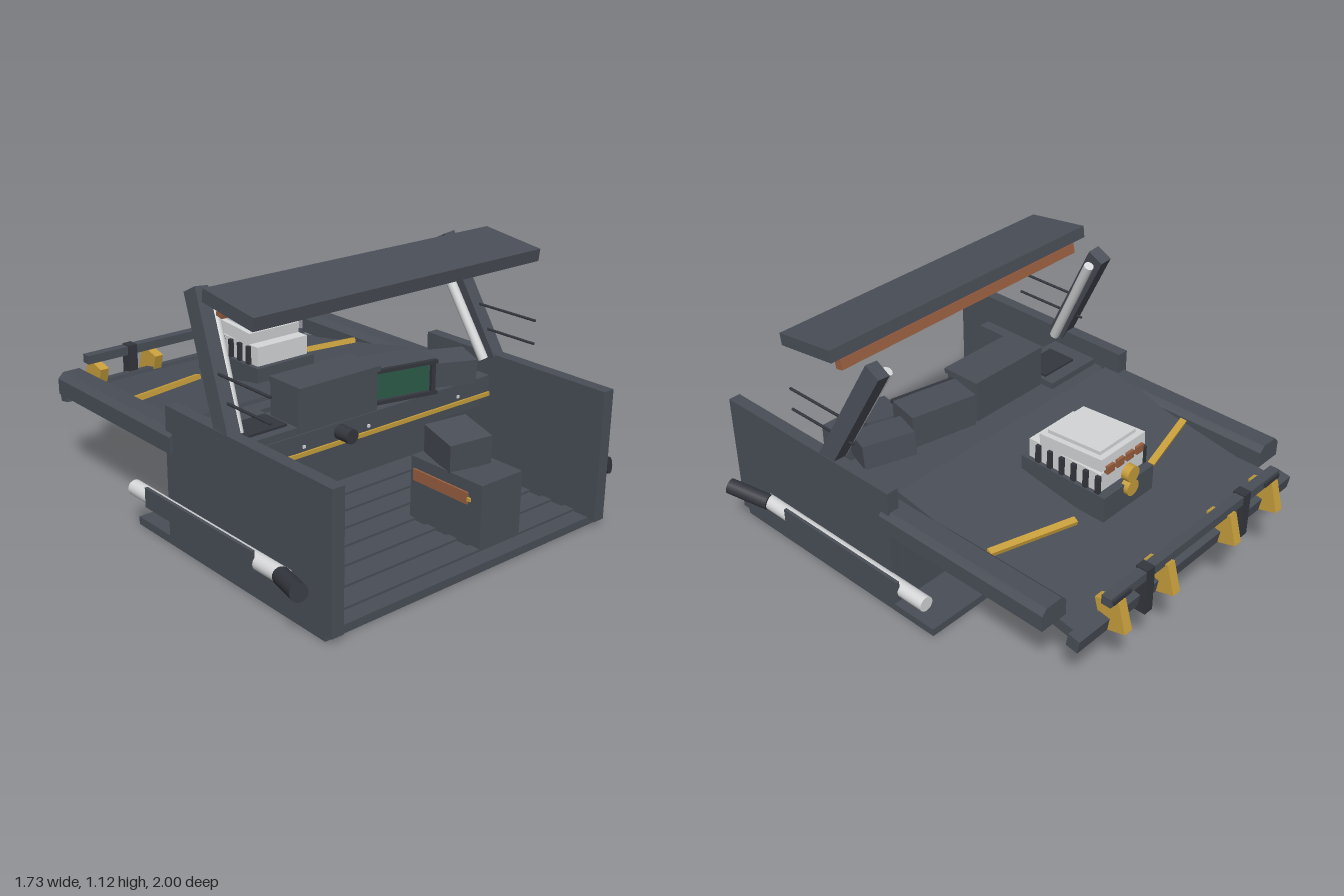
import * as THREE from 'three';

const material = (name, color) => {
  const m = new THREE.MeshStandardMaterial({ color });
  m.name = name;
  return m;
};

export function createModel() {
  const model = new THREE.Group();
  model.name = 'cockpit';
  const dark = material('slate grey', 0x4a4f58);
  const black = material('dark trim', 0x34373e);
  const light = material('light metal', 0xd6d8da);
  const gold = material('gold', 0xc9a03c);
  const copper = material('copper', 0x9a6040);
  const green = material('screen green', 0x2c5a48);

  const add = (name, geometry, mat, pos = [0, 0, 0], rot = [0, 0, 0], parent = model) => {
    const mesh = new THREE.Mesh(geometry, mat);
    mesh.name = name;
    mesh.position.set(...pos);
    mesh.rotation.set(...rot);
    parent.add(mesh);
    return mesh;
  };
  // Box given by its limits on each axis
  const span = (name, mat, [x0, x1], [y0, y1], [z0, z1]) =>
    add(name, new THREE.BoxGeometry(x1 - x0, y1 - y0, z1 - z0), mat,
      [(x0 + x1) / 2, (y0 + y1) / 2, (z0 + z1) / 2]);
  const box = (name, mat, size, pos, rot, parent) =>
    add(name, new THREE.BoxGeometry(...size), mat, pos, rot, parent);
  // Round rod, or beam of a w x d section, running between two points
  const between = (name, geometry, mat, a, b) => {
    const p = new THREE.Vector3(...a), q = new THREE.Vector3(...b);
    const mesh = add(name, geometry(p.distanceTo(q)), mat, p.clone().lerp(q, 0.5).toArray());
    mesh.quaternion.setFromUnitVectors(new THREE.Vector3(0, 1, 0), q.sub(p).normalize());
    return mesh;
  };
  const rod = (name, mat, r, a, b, sides = 16) =>
    between(name, h => new THREE.CylinderGeometry(r, r, h, sides), mat, a, b);
  const beam = (name, mat, w, d, a, b) =>
    between(name, h => new THREE.BoxGeometry(w, h, d), mat, a, b);

  // Tub: floor with ribs, firewall and side walls
  span('floor', dark, [-0.735, 0.735], [0.005, 0.04], [-0.22, 0.965]);
  for (let i = 0; i < 7; i++) {
    const z = 0.12 + i * 0.12;
    span('floorRib', dark, [-0.68, 0.68], [0.04, 0.05], [z, z + 0.05]);
  }
  span('firewall', dark, [-0.68, 0.68], [0.04, 0.5], [0.0, 0.04]);
  for (const s of [-1, 1]) {
    const side = s < 0 ? 'right' : 'left';
    box(side + 'Wall', dark, [0.055, 0.57, 0.995], [s * 0.7075, 0.315, 0.5025]);

    // Chamfered rail beside the hood
    const rail = new THREE.Shape();
    [[-0.065, -0.045], [0.065, -0.045], [0.065, 0.025], [0.04, 0.05], [-0.04, 0.05], [-0.065, 0.025]]
      .forEach(([x, y], i) => i ? rail.lineTo(x, y) : rail.moveTo(x, y));
    add(side + 'HoodRail', new THREE.ExtrudeGeometry(rail, { depth: 0.86, bevelEnabled: false }),
      dark, [s * 0.683, 0.455, -0.81]);

    // Windscreen pillar with its inner tube and thin rods
    beam(side + 'Pillar', dark, 0.06, 0.08, [s * 0.705, 0.575, 0.378], [s * 0.648, 1.075, 0.113]);
    rod(side + 'PillarTube', light, 0.022, [s * 0.655, 0.575, 0.37], [s * 0.59, 1.04, 0.125]);
    for (const y of [0.7, 0.8])
      rod(side + 'PillarRod', black, 0.006, [s * 0.69, y, 0.24], [s * 0.69, y, 0.615], 8);

    // Exhaust pipe, heat shield and flared tip
    rod(side + 'Exhaust', light, 0.033, [s * 0.755, 0.182, -0.21], [s * 0.755, 0.182, 0.78], 20);
    box(side + 'HeatShield', dark, [0.014, 0.085, 0.7], [s * 0.783, 0.193, 0.27]);
    rod(side + 'ExhaustTip', black, 0.035, [s * 0.765, 0.188, 0.76], [s * 0.832, 0.222, 0.94], 20);

    // Hood latch bar
    beam(side + 'HoodLatch', gold, 0.024, 0.03, [s * 0.61, 0.468, -0.415], [s * 0.22, 0.45, -0.513]);
    // Lamp bar posts and tilted lamp blocks
    box(side + 'LampPost', black, [0.045, 0.21, 0.055], [s * 0.31, 0.41, -0.928]);
    for (const x of [0.2, 0.49])
      box(side + 'Lamp', gold, [0.042, 0.135, 0.115], [s * x, 0.402, -0.928], [0.27, 0, 0]);
    box(side + 'LampCap', black, [0.1, 0.02, 0.03], [s * 0.48, 0.49, -0.945]);
  }
  span('armRest', dark, [-0.68, -0.625], [0.43, 0.46], [0.1, 0.825]);

  // Sloping hood, nose lip and lamp bar
  box('hood', dark, [1.28, 0.05, 0.97], [0, 0.431, -0.425], [-0.17, 0, 0]);
  box('noseLip', dark, [1.36, 0.06, 0.055], [0, 0.362, -0.897], [-0.17, 0, 0]);
  span('lampBar', dark, [-0.54, 0.54], [0.47, 0.51], [-0.952, -0.908]);

  // Engine block through the hood
  span('engineBase', dark, [-0.155, 0.155], [0.45, 0.565], [-0.6, -0.165]);
  span('engineBlock', light, [-0.135, 0.135], [0.565, 0.65], [-0.56, -0.19]);
  box('engineCover', light, [0.27, 0.055, 0.32], [0, 0.682, -0.405], [0.07, 0, 0]);
  box('coverPanel', light, [0.22, 0.02, 0.27], [0, 0.715, -0.4], [0.07, 0, 0]);
  for (const s of [-1, 1])
    for (let i = 0; i < 6; i++)
      span('blockFin', black, [s * 0.142 - 0.008, s * 0.142 + 0.008], [0.56, 0.645],
        [-0.565 + i * 0.062, -0.545 + i * 0.062]);
  for (let i = 0; i < 4; i++)
    box('intake', copper, [0.042, 0.035, 0.02], [-0.09 + i * 0.06, 0.665, -0.568]);
  for (const y of [0.545, 0.61])
    rod('pulley', gold, 0.036, [0, y, -0.62], [0, y, -0.585], 20);

  // Dashboard
  span('cowl', dark, [-0.64, 0.64], [0.41, 0.52], [-0.02, 0.12]);
  span('dashLower', dark, [-0.68, 0.68], [0.345, 0.41], [0.04, 0.34]);
  span('dash', dark, [-0.68, 0.68], [0.39, 0.5], [0.1, 0.385]);
  span('dashStripe', gold, [-0.68, 0.68], [0.408, 0.426], [0.385, 0.393]);
  for (const x of [-0.52, -0.355, -0.02, 0.49])
    box('dashStud', light, [0.012, 0.012, 0.006], [x, 0.447, 0.388]);
  span('dashTray', dark, [-0.67, -0.38], [0.5, 0.53], [0.14, 0.38]);
  span('trayLid', black, [-0.59, -0.4], [0.53, 0.54], [0.2, 0.34]);
  span('gaugePod', dark, [-0.375, 0.03], [0.5, 0.67], [0.205, 0.38]);
  span('gaugeHood', dark, [-0.38, 0.035], [0.67, 0.693], [0.205, 0.395]);
  rod('steeringStub', black, 0.031, [-0.17, 0.462, 0.36], [-0.17, 0.462, 0.46], 20);

  // Screen turned towards the driver
  const display = new THREE.Group();
  display.name = 'display';
  display.position.set(0.197, 0.585, 0.295);
  display.rotation.y = -0.21;
  model.add(display);
  box('displayCase', dark, [0.31, 0.15, 0.16], [0, 0, 0], [0, 0, 0], display);
  box('screen', green, [0.26, 0.11, 0.008], [-0.01, 0, 0.082], [0, 0, 0], display);
  for (const y of [-0.067, 0.067])
    box('screenRim', black, [0.31, 0.016, 0.02], [0, y, 0.088], [0, 0, 0], display);
  for (const x of [-0.148, 0.135])
    box('screenRim', black, [0.018, 0.15, 0.02], [x, 0, 0.088], [0, 0, 0], display);
  box('dashBox', dark, [0.23, 0.11, 0.15], [0.475, 0.563, 0.315], [0.08, -0.35, 0]);

  // Pedals
  [[-0.265, 0.132, light], [-0.165, 0.122, black], [-0.065, 0.107, light]].forEach(([x, y, mat]) => {
    box('pedal', mat, [0.052, 0.085, 0.02], [x, y, 0.11], [-0.2, 0, 0]);
    rod('pedalArm', black, 0.008, [x, y, 0.1], [x, y + 0.05, 0.03], 8);
  });

  // Console with a tilted box on top
  span('console', dark, [0.115, 0.342], [0.04, 0.32], [0.5, 0.89]);
  span('consoleStripe', copper, [0.106, 0.115], [0.22, 0.27], [0.52, 0.82]);
  span('consoleMark', gold, [0.105, 0.115], [0.235, 0.25], [0.82, 0.835]);
  box('consoleBox', dark, [0.19, 0.125, 0.2], [0.222, 0.39, 0.65], [0.1, -0.24, 0.09]);

  // Roof visor with the fittings beneath it
  box('visor', dark, [1.47, 0.053, 0.302], [0, 1.084, 0.428], [0.13, 0, 0]);
  rod('visorTube', light, 0.015, [-0.65, 1.022, 0.395], [0.65, 1.022, 0.395]);
  box('visorRail', copper, [1.36, 0.045, 0.035], [0, 1.037, 0.304], [0.2, 0, 0]);
  box('visorConsole', dark, [0.335, 0.05, 0.085], [0, 1.012, 0.38], [0.13, 0, 0]);

  return model;
}
